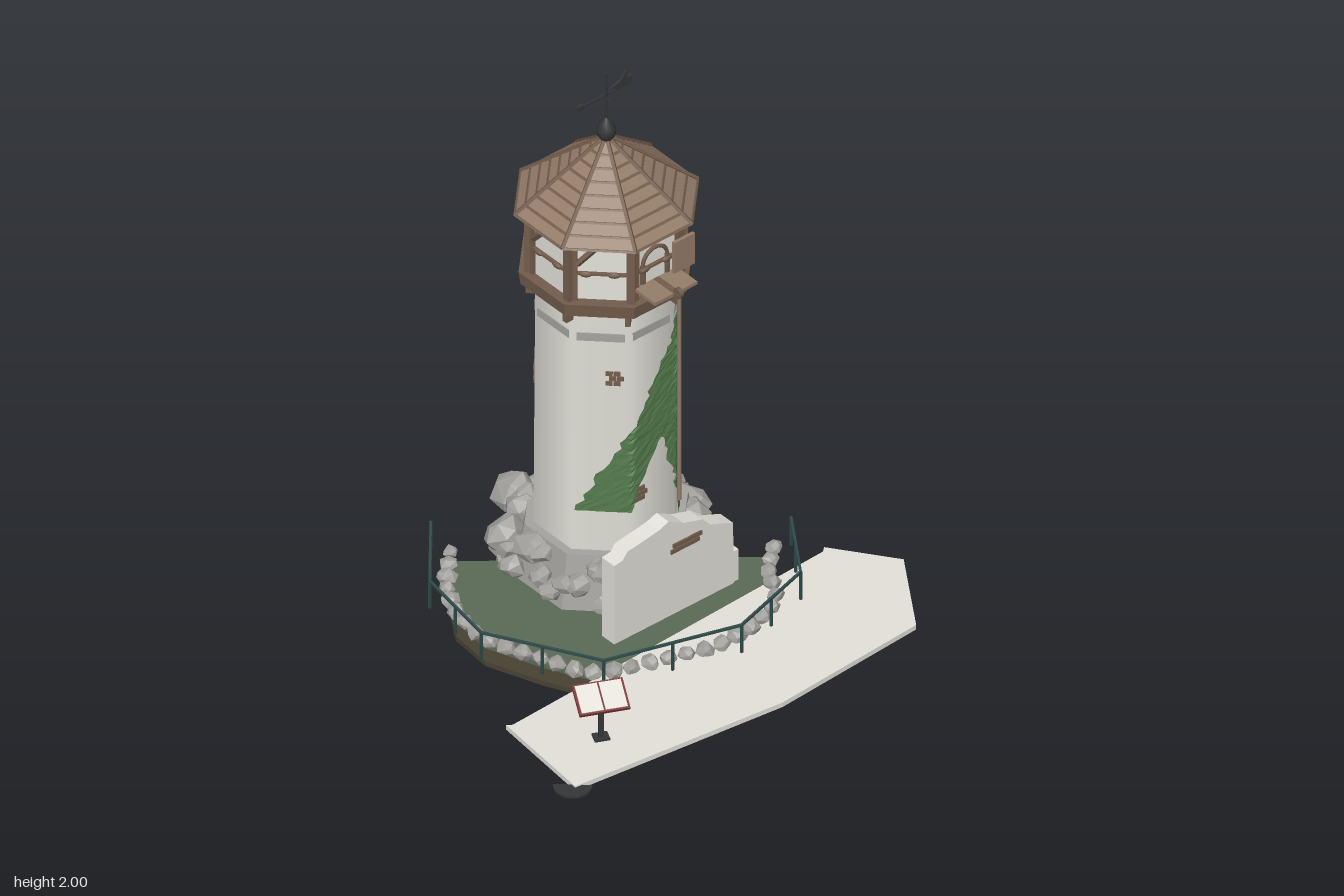
import * as THREE from 'three';
import { ConvexGeometry } from 'three/addons/geometries/ConvexGeometry.js';

const V = (x, y, z) => new THREE.Vector3(x, y, z);
const paint = (name, color) => Object.assign(new THREE.MeshStandardMaterial({ color }), { name });

export function createModel() {
  const model = new THREE.Group();
  model.name = 'lookoutTower';
  const plaster = paint('plaster', 0xe3e1d9), timber = paint('timber', 0x745d4d), shingle = paint('shingle', 0x957d6a);
  const rock = paint('rock', 0xa6a4a0), grass = paint('grass', 0x596b56), leaf = paint('leaf', 0x557c4d);
  const iron = paint('iron', 0x343638), soil = paint('soil', 0x484233), red = paint('red', 0x7c3337), teal = paint('teal', 0x2f4c4b);
  leaf.side = THREE.DoubleSide;

  let seed = 11;
  const rnd = () => (seed = (seed * 16807) % 2147483647) / 2147483647;
  const flat = (g) => { const f = g.index ? g.toNonIndexed() : g; f.computeVertexNormals(); return f; };
  const add = (parent, name, geo, mat, x = 0, y = 0, z = 0) => {
    const m = new THREE.Mesh(geo, mat);
    m.name = name;
    m.position.set(x, y, z);
    parent.add(m);
    return m;
  };
  const box = (p, name, mat, w, h, d, x, y, z) => add(p, name, new THREE.BoxGeometry(w, h, d), mat, x, y, z);
  const group = (name, parent = model) => {
    const g = new THREE.Group();
    g.name = name;
    parent.add(g);
    return g;
  };
  // square bar between two points
  const beam = (p, name, mat, a, b, w) => {
    const mid = a.clone().lerp(b, 0.5);
    const m = box(p, name, mat, w, w, a.distanceTo(b), mid.x, mid.y, mid.z);
    m.quaternion.setFromUnitVectors(V(0, 0, 1), b.clone().sub(a).normalize());
    return m;
  };
  const slab = (p, name, mat, pts, y0, y1) => {
    const s = new THREE.Shape(pts.map(([x, z]) => new THREE.Vector2(x, -z)));
    const g = new THREE.ExtrudeGeometry(s, { depth: y1 - y0, bevelEnabled: false });
    return add(p, name, g.rotateX(-Math.PI / 2), mat, 0, y0, 0);
  };
  const K = Math.cos(Math.PI / 8), HALF = Math.tan(Math.PI / 8);
  // octagonal prism given by its apothems
  const prism = (top, bottom, h) => new THREE.CylinderGeometry(top / K, bottom / K, h, 8, 1, false, Math.PI / 8);
  const octagon = (p, name, mat, top, bottom, y0, y1) =>
    add(p, name, flat(prism(top, bottom, y1 - y0)), mat, 0, (y0 + y1) / 2, 0);
  // group lying on side k of the tower, its z axis pointing outward
  const side = (p, k, apothem) => {
    const turn = group('side', p), g = group('sideParts', turn);
    turn.rotation.y = k * Math.PI / 4;
    g.position.z = apothem;
    return g;
  };
  const boulder = (p, name, x, y, z, rx, ry, rz) => {
    const pts = [];
    for (let i = 0; i < 18; i++) {
      const h = 1 - 2 * (i + 0.5) / 18, a = i * 2.4 + rnd() * 0.8, r = Math.sqrt(1 - h * h), s = 0.8 + rnd() * 0.32;
      pts.push(V(Math.cos(a) * r * rx * s, h * ry * s, Math.sin(a) * r * rz * s));
    }
    return add(p, name, new ConvexGeometry(pts), rock, x, y, z);
  };
  const bricks = (p, x, y, z, rows = 3, w = 0.05) => {
    for (let i = 0; i < rows; i++) for (let j = 0; j < 2; j++)
      box(p, 'exposedBrick', timber, w / 2 - 0.003, 0.015, 0.008, x + (j - 0.5) * w / 2 + (i % 2 - 0.5) * 0.01, y + (i - rows / 2) * 0.019, z);
  };

  // ground
  const lawn = [[-0.27, -0.6], [-0.37, -0.49], [-0.45, -0.36], [-0.465, -0.2], [-0.39, 0], [-0.3, 0.18], [0.1, 0.31],
    [0.36, 0.24], [0.51, 0.03]];
  slab(model, 'soilBed', soil, lawn, 0, 0.018);
  slab(model, 'lawn', grass, lawn, 0.07, 0.085);
  const outer = [[0.65, 0.135], [0.8, 0.345], [0.61, 0.63], [0.03, 0.665], [-0.75, 0.575], [-0.71, 0.19]];
  slab(model, 'pavementUnderside', plaster, outer, 0.097, 0.1);
  slab(model, 'pavement', plaster, [...outer, [-0.54, 0.33], [0.08, 0.41], [0.42, 0.33]], 0.1, 0.115);
  add(model, 'halfRoundStep', new THREE.CylinderGeometry(0.063, 0.063, 0.008, 20, 1, false, -0.757 - Math.PI / 2, Math.PI),
    iron, -0.745, 0.106, 0.557);

  // edging stones
  const edging = group('edgingStones');
  const edge = new THREE.CatmullRomCurve3([[-0.26, -0.61], [-0.36, -0.51], [-0.44, -0.38], [-0.47, -0.22], [-0.4, -0.01],
    [-0.32, 0.16], [-0.1, 0.25], [0.1, 0.305], [0.35, 0.245], [0.45, 0.1], [0.53, 0.03]].map(([x, z]) => V(x, 0.112, z)));
  for (let i = 0; i < 31; i++) {
    const p = edge.getPointAt(i / 30), s = 0.028 + rnd() * 0.008;
    boulder(edging, 'edgingStone', p.x, p.y, p.z, s, s * 0.85, s);
  }

  // railing
  const railing = group('railing');
  const line = [[-0.29, -0.67], [-0.49, -0.44], [-0.54, -0.13], [-0.34, 0.23], [0.11, 0.37], [0.43, 0.28], [0.59, 0.045]]
    .map(([x, z]) => V(x, 0.21, z));
  const post = (p) => box(railing, 'railingPost', teal, 0.008, 0.11, 0.008, p.x, 0.157, p.z);
  line.forEach((p, i) => {
    post(p);
    if (!i) return;
    beam(railing, 'handrail', teal, line[i - 1], p, 0.008);
    post(p.clone().lerp(line[i - 1], 0.5));
  });

  // reading board
  const board = group('readingBoard');
  board.position.set(-0.525, 0, 0.435);
  board.rotation.y = -0.44;
  box(board, 'boardPost', iron, 0.016, 0.14, 0.016, 0, 0.185, 0);
  box(board, 'boardFoot', iron, 0.05, 0.008, 0.04, 0, 0.119, 0);
  const panel = group('boardPanel', board);
  panel.position.y = 0.275;
  panel.rotation.x = 0.45;
  box(panel, 'boardFrame', red, 0.165, 0.012, 0.11, 0, 0, 0);
  for (const s of [-1, 1]) box(panel, 'boardPage', plaster, 0.072, 0.004, 0.098, s * 0.039, 0.007, 0);

  // ruined wall
  const ruin = new THREE.Shape([[-0.155, 0.085], [0.34, 0.085], [0.335, 0.325], [0.29, 0.345], [0.24, 0.365], [0.21, 0.4], [0.13, 0.425],
    [0.07, 0.46], [0.03, 0.445], [-0.03, 0.435], [-0.1, 0.425], [-0.12, 0.4], [-0.155, 0.395]].map(([x, y]) => new THREE.Vector2(x, y)));
  add(model, 'ruinedWall', new THREE.ExtrudeGeometry(ruin, { depth: 0.06, bevelEnabled: false }), plaster, 0, 0, 0.003);
  bricks(model, 0.14, 0.355, 0.065, 2, 0.12);
  box(model, 'wallStub', plaster, 0.03, 0.12, 0.05, 0.347, 0.145, 0.033);

  // tower shaft
  const tower = group('tower');
  tower.position.set(0.12, 0, -0.3);
  octagon(tower, 'stoneFoot', rock, 0.25, 0.285, 0.08, 0.28);
  add(tower, 'shaft', prism(0.217, 0.222, 0.92), plaster, 0, 0.74, 0);
  octagon(tower, 'shaftFlare', plaster, 0.25, 0.217, 1.2, 1.235);
  for (let k = 0; k < 8; k++) {
    const f = side(tower, k, 0.22);
    box(f, 'weatheredBand', rock, 0.15, 0.03, 0.006, 0, 1.12, -0.002);
    box(f, 'bracket', timber, 0.018, 0.045, 0.03, 0.088, 1.21, 0.012);
  }
  bricks(side(tower, 7, 0.22), 0.045, 0.97, 0);
  bricks(side(tower, 0, 0.222), -0.05, 0.5, 0);
  bricks(side(tower, 3, 0.222), -0.06, 0.58, 0);
  bricks(side(tower, 5, 0.22), 0.05, 0.86, 0, 4, 0.06);

  // boulders round the foot
  const boulders = group('boulders');
  for (let i = 0; i < 42; i++) {
    const a = i * 2.39996, s = 0.042 + rnd() * 0.03, upper = i % 3 === 0;
    const r = 0.29 + (upper ? -0.015 : rnd() * 0.03);
    const gap = Math.abs((a % (2 * Math.PI)) - 2.2) < 0.25;
    const x = 0.12 + Math.sin(a) * r, z = -0.3 + Math.cos(a) * r;
    if (gap || z > -0.04) continue;
    boulder(boulders, 'boulder', x, upper ? 0.24 : 0.12 + rnd() * 0.08, z, s, s * 0.85, s);
  }
  boulder(boulders, 'boulder', -0.01, 0.24, -0.59, 0.08, 0.07, 0.08);
  boulder(boulders, 'boulder', 0.42, 0.17, -0.27, 0.075, 0.07, 0.09);
  boulder(boulders, 'boulder', -0.14, 0.2, -0.48, 0.08, 0.08, 0.07);
  boulder(boulders, 'boulder', -0.04, 0.1, -0.1, 0.07, 0.05, 0.06);

  // ivy strips wrapped on the shaft: rows of [y, left x, right x]
  const ivy = (rows) => {
    const pos = [], idx = [], N = 10, STEPS = 40, at = (t, c) => {
      const f = t * (rows.length - 1), i = Math.min(Math.floor(f), rows.length - 2);
      return THREE.MathUtils.lerp(rows[i][c], rows[i + 1][c], f - i);
    };
    for (let j = 0; j <= STEPS; j++) {
      const y = at(j / STEPS, 0), l = at(j / STEPS, 1) + (rnd() - 0.5) * 0.02, r = at(j / STEPS, 2) + (rnd() - 0.5) * 0.02;
      for (let i = 0; i <= N; i++) {
        const x = Math.min(Math.max(l + (r - l) * i / N, -0.1), 0.338);
        const z = -0.08 - Math.max(0, Math.abs(x - 0.12) - 0.091) + 0.014 + rnd() * 0.003;
        pos.push(x, y, z);
        const a = j * (N + 1) + i;
        if (i < N && j < STEPS) idx.push(a, a + N + 1, a + 1, a + 1, a + N + 1, a + N + 2);
      }
    }
    const g = new THREE.BufferGeometry();
    g.setAttribute('position', new THREE.Float32BufferAttribute(pos, 3));
    g.setIndex(idx);
    add(model, 'ivy', flat(g), leaf);
  };
  ivy([[1.14, 0.21, 0.3], [1.05, 0.19, 0.3], [0.98, 0.15, 0.27], [0.85, 0.08, 0.22], [0.72, 0.01, 0.17], [0.58, -0.05, 0.08],
    [0.44, -0.1, 0.02]]);
  ivy([[0.86, 0.14, 0.21], [0.74, 0.13, 0.24], [0.64, 0.16, 0.28], [0.52, 0.2, 0.315], [0.42, 0.22, 0.33], [0.3, 0.26, 0.335]]);

  // gallery
  const gallery = group('gallery', tower);
  octagon(gallery, 'galleryFloor', timber, 0.268, 0.262, 1.232, 1.28);
  octagon(gallery, 'galleryWall', plaster, 0.232, 0.232, 1.28, 1.5);
  octagon(gallery, 'eavesBeam', timber, 0.25, 0.25, 1.485, 1.508);
  for (let k = 0; k < 8; k++) {
    const f = side(gallery, k, 0.238), w = 0.238 * HALF;
    box(f, 'cornerPost', timber, 0.028, 0.23, 0.026, w, 1.39, 0);
    box(f, 'sidePost', timber, 0.014, 0.22, 0.014, -w + 0.02, 1.39, 0);
    box(f, 'middleRail', timber, 2 * w, 0.008, 0.012, 0, 1.385, 0);
    for (const s of [-1, 1]) {
      const knob = add(f, 'railSpindle', new THREE.SphereGeometry(0.011, 10, 6), timber, s * 0.045, 1.385, 0.004);
      knob.scale.set(2, 1, 0.8);
    }
    if (k) beam(f, 'brace', timber, V(-w + 0.025, 1.42, 0.002), V(-0.02, 1.48, 0.002), 0.016);
  }

  // loading hatch and hoist
  const hoist = group('hoist', tower);
  add(hoist, 'hatchArch', new THREE.TorusGeometry(0.05, 0.007, 6, 16, Math.PI), timber, 0, 1.4, 0.237);
  for (const s of [-1, 1]) box(hoist, 'hatchJamb', timber, 0.014, 0.12, 0.014, s * 0.05, 1.34, 0.237);
  box(hoist, 'shutter', shingle, 0.085, 0.12, 0.012, 0.1, 1.39, 0.258);
  box(hoist, 'landingBoard', shingle, 0.175, 0.012, 0.1, 0, 1.324, 0.29);
  box(hoist, 'hoistBeam', timber, 0.02, 0.014, 0.12, 0, 1.325, 0.302);
  add(hoist, 'pulley', new THREE.CylinderGeometry(0.018, 0.018, 0.014, 14).rotateZ(Math.PI / 2), timber, 0, 1.335, 0.352);
  add(hoist, 'rope', new THREE.CylinderGeometry(0.007, 0.007, 0.81, 8), shingle, 0, 0.925, 0.355);

  // shingled roof with shadow strips and hip boards
  const roof = group('roof', tower), ROWS = 8, slope = (t) => [0.278 * (1 - t) + 0.015 * t, 1.508 + 0.232 * t];
  for (let i = 0; i < ROWS; i++) {
    const [a0, y0] = slope(i / ROWS), [a1, y1] = slope((i + 1) / ROWS);
    octagon(roof, 'shingleRow', shingle, a1, a0 + 0.003, y0, y1);
    octagon(roof, 'shingleEdge', timber, a0 + 0.001, a0 + 0.006, y0 - 0.001, y0 + 0.004);
  }
  for (let k = 0; k < 8; k++) {
    const a = (k + 0.5) * Math.PI / 4, p = (r, y) => V(Math.sin(a) * r, y, Math.cos(a) * r);
    beam(roof, 'hipBoard', timber, p(0.303, 1.51), p(0.016, 1.742), 0.011);
  }

  // finial and weather vane
  const vane = group('weatherVane', tower);
  const bulb = [[0.001, 1.725], [0.015, 1.735], [0.03, 1.76], [0.031, 1.782], [0.018, 1.808], [0.005, 1.825]];
  add(vane, 'finial', new THREE.LatheGeometry(bulb.map(([x, y]) => new THREE.Vector2(x, y)), 16), iron);
  add(vane, 'vanePole', new THREE.CylinderGeometry(0.004, 0.004, 0.18, 8), iron, 0, 1.91, 0);
  box(vane, 'vaneArm', iron, 0.22, 0.006, 0.006, -0.01, 1.915, 0);
  box(vane, 'crossArm', iron, 0.005, 0.004, 0.05, 0, 1.9, 0);
  box(vane, 'vaneTip', iron, 0.022, 0.018, 0.012, -0.108, 1.915, 0);
  const bird = new THREE.Shape([[0.015, 1.93], [0.05, 1.915], [0.1, 1.915], [0.105, 1.945], [0.085, 1.942], [0.08, 1.972],
    [0.055, 1.942]].map(([x, y]) => new THREE.Vector2(x, y)));
  add(vane, 'vaneBird', new THREE.ExtrudeGeometry(bird, { depth: 0.008, bevelEnabled: false }), iron, 0, 0, -0.004);
  return model;
}
